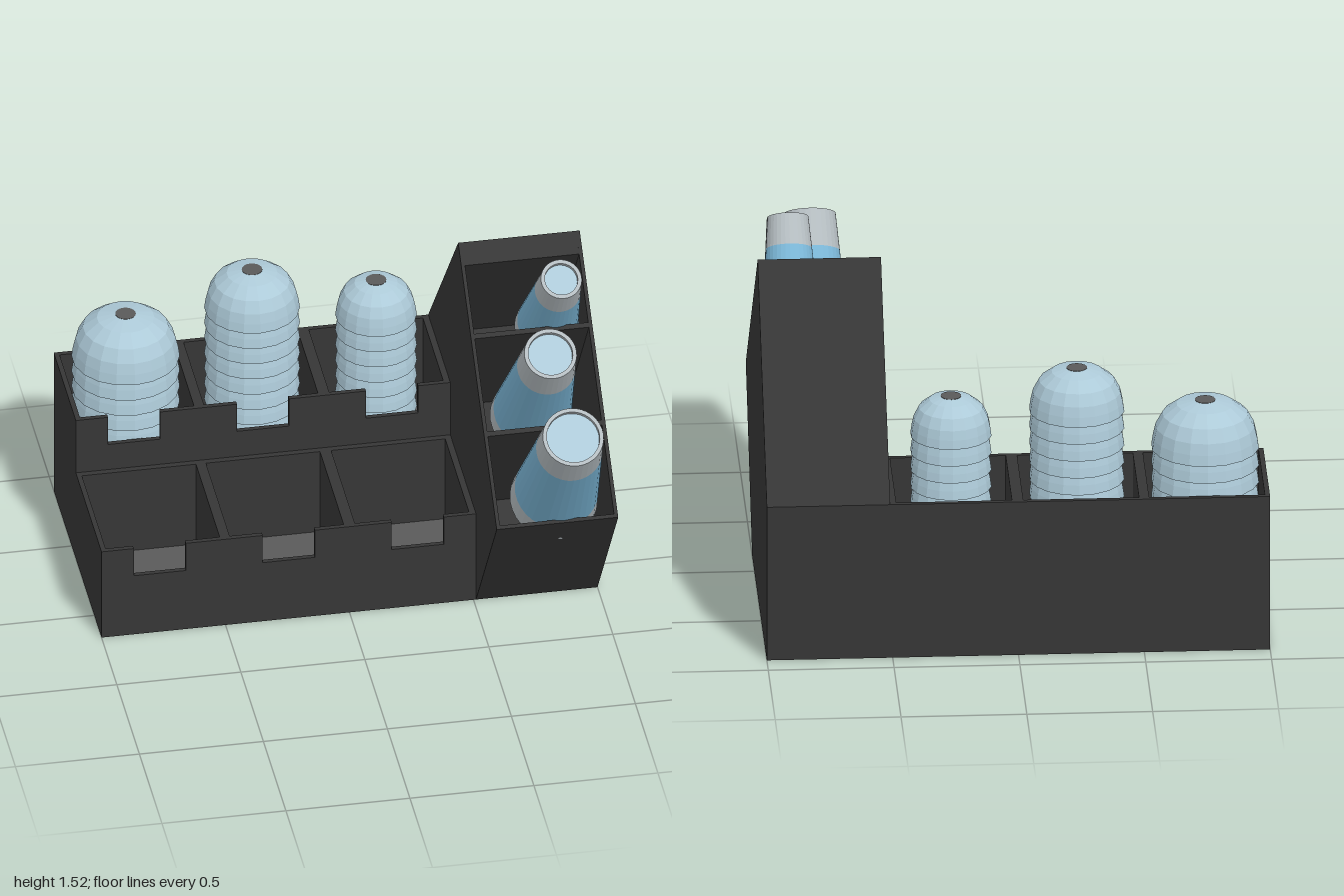
import * as THREE from 'three';

const mat = (name, color, side = THREE.FrontSide) => {
  const m = new THREE.MeshStandardMaterial({ color, side });
  m.name = name;
  return m;
};

export function createModel() {
  const root = new THREE.Group();
  const body = mat('charcoal', 0x363636);
  const floorGrey = mat('floorGrey', 0x5a5a5a);
  const lidBlue = mat('paleBlue', 0xadcad8, THREE.DoubleSide);
  const cupBlue = mat('cupBlue', 0x7ab5d5, THREE.DoubleSide);
  const cupGrey = mat('cupGrey', 0xb4bcc0, THREE.DoubleSide);

  const add = (name, geo, material, parent = root) => {
    const m = new THREE.Mesh(geo, material);
    m.name = name;
    parent.add(m);
    return m;
  };
  const extrude = (pts, depth) => new THREE.ExtrudeGeometry(
    new THREE.Shape(pts.map(([a, b]) => new THREE.Vector2(a, b))), { depth, bevelEnabled: false });
  // Side profile given as [z, y], filling x0..x1
  const sidePanel = (name, pts, x0, x1) => {
    const m = add(name, extrude(pts, x1 - x0), body);
    m.rotation.y = -Math.PI / 2;
    m.position.x = x1;
    return m;
  };
  const box = (name, x0, x1, y0, y1, z0, z1, material = body) => {
    const m = add(name, new THREE.BoxGeometry(x1 - x0, y1 - y0, z1 - z0), material);
    m.position.set((x0 + x1) / 2, (y0 + y1) / 2, (z0 + z1) / 2);
  };
  const flat = (geo) => {
    const g = geo.toNonIndexed();
    g.computeVertexNormals();
    return g;
  };

  // --- Lid bin: stepped dividers, notched walls, floors ---
  const step = [[0.14, 0], [0.14, 0.41], [-0.41, 0.41], [-0.41, 0.66], [-0.88, 0.66], [-0.88, 0]];
  const outerStep = step.map(([z, y]) => [z === 0.14 ? 0.16 : z === -0.88 ? -0.9 : z, y]);
  sidePanel('binSideWall', outerStep, -1, -0.98);
  [[-0.52, -0.48], [-0.02, 0.025], [0.485, 0.51]].forEach(([a, b]) => sidePanel('binDivider', step, a, b));

  const notchedWall = (name, top, z) => {
    const pts = [[-0.98, 0], [0.51, 0], [0.51, top]];
    for (const x of [0.275, -0.245, -0.765]) {
      pts.push([x + 0.105, top], [x + 0.105, top - 0.13], [x - 0.105, top - 0.13], [x - 0.105, top]);
    }
    pts.push([-0.98, top]);
    add(name, extrude(pts, 0.02), body).position.z = z;
  };
  notchedWall('frontWall', 0.41, 0.14);
  notchedWall('middleWall', 0.66, -0.43);
  box('middleLedge', -0.98, 0.51, 0, 0.41, -0.41, -0.385);
  box('backWall', -0.98, 0.51, 0, 0.66, -0.9, -0.88);
  box('binBase', -0.99, 0.51, 0, 0.02, -0.89, 0.15);
  [[-0.98, -0.52], [-0.48, -0.02], [0.025, 0.485]].forEach(([a, b]) => {
    box('frontFloor', a, b, 0.02, 0.028, -0.385, 0.14, floorGrey);
    box('backFloor', a, b, 0.25, 0.258, -0.88, -0.43, floorGrey);
  });

  // --- Cup holder: slanted block with three deep slots between side panels ---
  const outline = [[0.16, 0], [0.62, 0.64], [-0.235, 1.445], [-0.9, 0.66], [-0.9, 0]];
  const along = (s, d) => [0.62 - 0.728 * s - 0.584 * d, 0.64 + 0.685 * s - 0.812 * d];
  const comb = [outline[0], outline[1]];
  for (const [a, b] of [[0.015, 0.38], [0.4, 0.78], [0.8, 1.08]]) {
    comb.push(along(a, 0), along(a, 0.75), along(b, 0.75), along(b, 0));
  }
  comb.push(...outline.slice(2));
  sidePanel('cupHolderShelves', comb, 0.525, 0.985);
  sidePanel('cupHolderInnerSide', outline, 0.51, 0.525);
  sidePanel('cupHolderOuterSide', outline, 0.985, 1);

  // --- Stacks of nested faceted lids ---
  const lidProfile = [[1, 0], [0.97, 0.22], [0.92, 0.45], [0.79, 0.71], [0.53, 0.92]];
  const lidStack = (x, r, top, h) => {
    const g = new THREE.Group();
    g.name = 'lidStack';
    g.position.set(x, 0, -0.655);
    root.add(g);
    const pts = lidProfile.map(([a, b]) => new THREE.Vector2(a * r, b * h));
    pts.push(new THREE.Vector2(0.04, h));
    const geo = flat(new THREE.LatheGeometry(pts, 18));
    for (let y = top - h; y > 0.26; y -= 0.073) add('lid', geo, lidBlue, g).position.y = y;
    // straw hole
    const hole = add('strawHole', new THREE.CylinderGeometry(0.041, 0.041, 0.006, 18), floorGrey, g);
    hole.position.y = top - 0.002;
  };
  lidStack(-0.755, 0.215, 0.98, 0.2);
  lidStack(-0.245, 0.19, 1.13, 0.18);
  lidStack(0.255, 0.162, 1.02, 0.165);

  // --- Upturned tapered cups leaning out of the slots ---
  const cup = (x, y, z, r0, taper, split, blueEnd, length) => {
    const g = new THREE.Group();
    g.name = 'cup';
    g.position.set(x, y, z);
    g.rotation.x = Math.atan2(0.6, 0.8);
    root.add(g);
    const at = (t) => new THREE.Vector2(r0 + taper * t, -t);
    const ring = (name, pts, m) => add(name, flat(new THREE.LatheGeometry(pts, 32)), m, g);
    const ri = r0 - 0.016;
    ring('cupBaseBand', [at(split), at(0)], cupGrey);
    ring('cupBaseRim', [at(0), new THREE.Vector2(ri, 0), new THREE.Vector2(ri, -0.02)], cupGrey);
    ring('cupSleeve', [at(blueEnd), at(split)], cupBlue);
    ring('cupMouthBand', [at(length), at(blueEnd)], cupGrey);
    const disc = add('cupBase', new THREE.CircleGeometry(ri, 32), lidBlue, g);
    disc.rotation.x = -Math.PI / 2;
    disc.position.y = -0.02;
  };
  cup(0.785, 1.172, 0.805, 0.122, 0.075, 0.145, 0.61, 0.72);
  cup(0.757, 1.342, 0.455, 0.105, 0.078, 0.155, 0.66, 0.74);
  cup(0.86, 1.47, 0.128, 0.082, 0.08, 0.13, 0.5, 0.56);

  return root;
}
